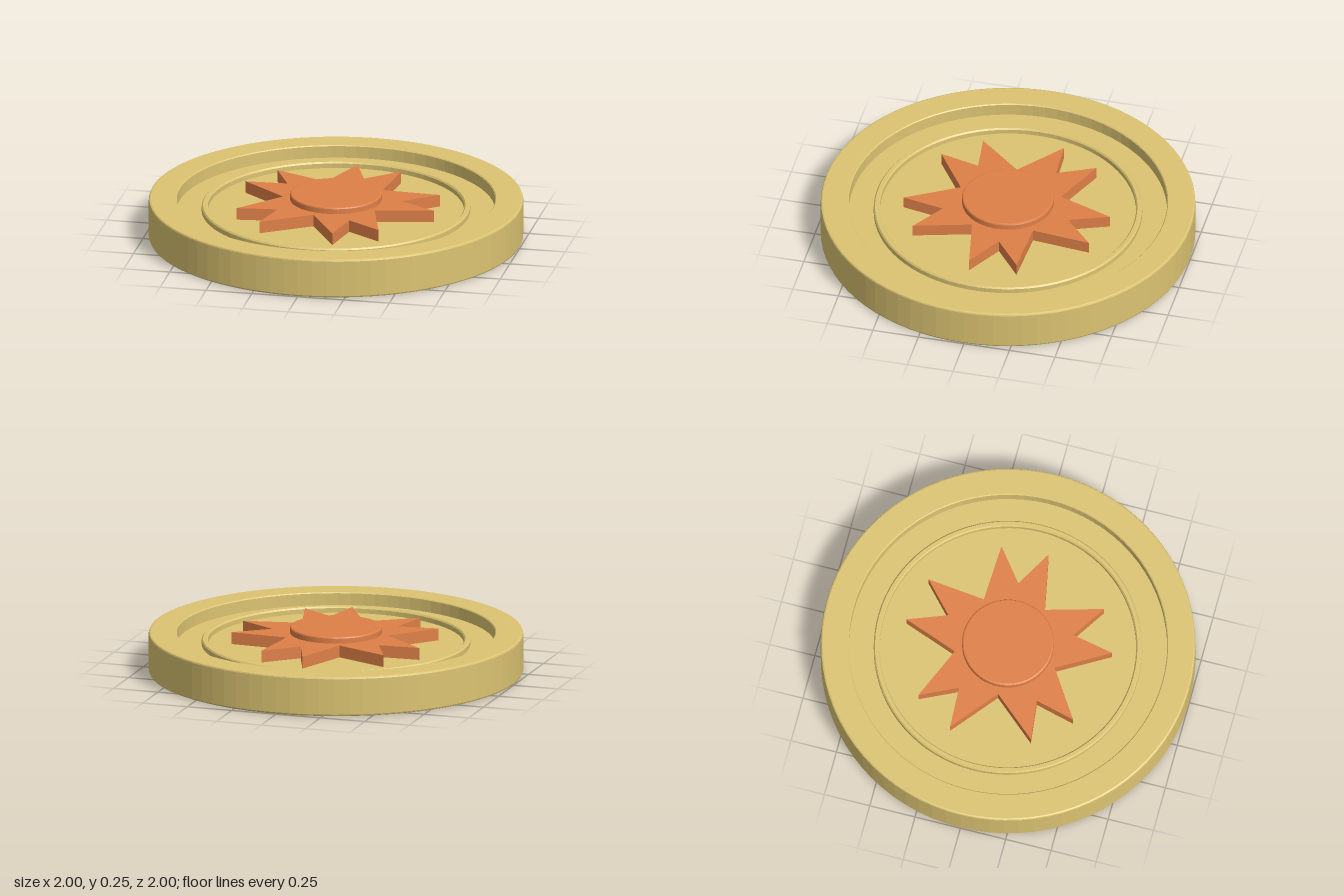
import * as THREE from 'three';

const SEGMENTS = 80;
const FLOOR = 0.145;

// Faceted solid of revolution from [radius, height] pairs, listed from the bottom outwards and up
function turned(profile) {
  const points = profile.map(([r, y]) => new THREE.Vector2(r, y));
  const geometry = new THREE.LatheGeometry(points, SEGMENTS).toNonIndexed();
  geometry.computeVertexNormals();
  return geometry;
}

export function createModel() {
  const gold = new THREE.MeshStandardMaterial({ color: 0xdcc472 });
  gold.name = 'gold';
  const orange = new THREE.MeshStandardMaterial({ color: 0xdf8048 });
  orange.name = 'orange';

  const model = new THREE.Group();
  model.name = 'sunMedallion';
  const add = (name, geometry, material) => {
    const mesh = new THREE.Mesh(geometry, material);
    mesh.name = name;
    model.add(mesh);
  };

  // Disc with softened edges, a raised rim and a sunken floor
  add('coinBody', turned([
    [0, 0], [0.99, 0], [0.997, 0.003], [1, 0.01],
    [1, 0.205], [0.997, 0.212], [0.99, 0.215],
    [0.855, 0.215], [0.85, 0.21], [0.85, FLOOR], [0, FLOOR],
  ]), gold);

  // Thin raised ring around the emblem
  add('innerRing', turned([
    [0.717, FLOOR], [0.717, 0.17], [0.71, 0.178],
    [0.691, 0.178], [0.684, 0.17], [0.684, FLOOR],
  ]), gold);

  // Irregular sunburst, outline as [x, z] going round from the back
  const outline = [
    [0, -0.56], [0.08, -0.35], [0.25, -0.505], [0.215, -0.19], [0.53, -0.175],
    [0.35, -0.035], [0.55, 0.08], [0.24, 0.14], [0.325, 0.445], [0.14, 0.325],
    [0.095, 0.55], [-0.065, 0.275], [-0.325, 0.445], [-0.27, 0.23], [-0.49, 0.255],
    [-0.285, 0.02], [-0.53, -0.18], [-0.305, -0.19], [-0.4, -0.39], [-0.11, -0.265],
  ];
  const star = new THREE.Shape(outline.map(([x, z]) => new THREE.Vector2(x, -z)));
  const rays = new THREE.ExtrudeGeometry(star, { depth: 0.065, bevelEnabled: false });
  rays.rotateX(-Math.PI / 2).translate(0, FLOOR, 0);
  add('sunRays', rays, orange);

  // Round centre of the sun
  add('sunCentre', turned([
    [0.245, 0.205], [0.245, 0.237], [0.242, 0.243], [0.236, 0.245], [0, 0.245],
  ]), orange);

  return model;
}
